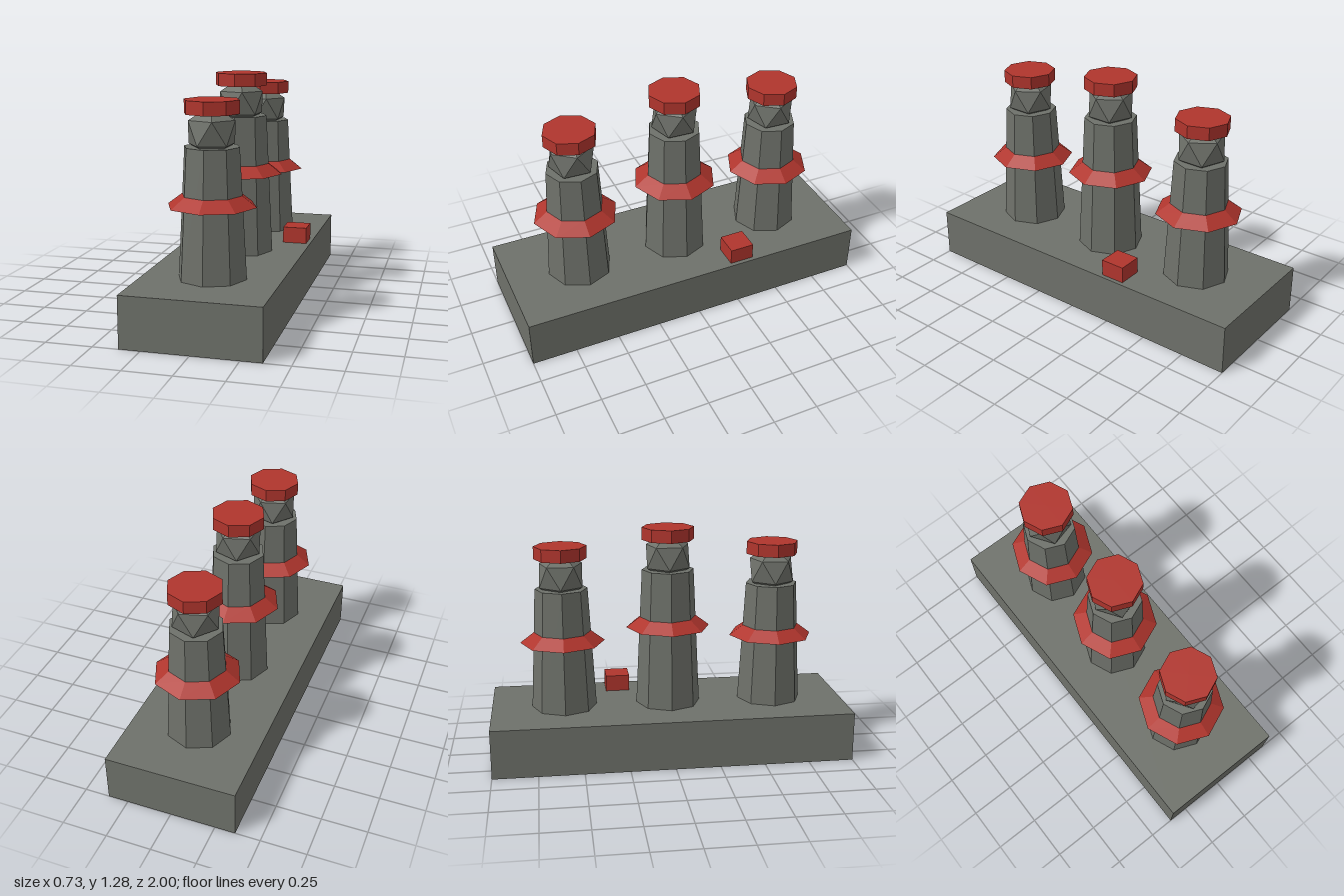
import * as THREE from 'three';

const stone = new THREE.MeshStandardMaterial({ name: 'greyStone', color: 0x6e716a, flatShading: true });
const red = new THREE.MeshStandardMaterial({ name: 'redPaint', color: 0xb0352d, flatShading: true });

const BASE_H = 0.275;

function add(parent, name, geometry, material, x, y, z) {
  const mesh = new THREE.Mesh(geometry, material);
  mesh.name = name;
  mesh.position.set(x, y, z);
  parent.add(mesh);
  return mesh;
}

// Octagonal tapered solid with corners on the x and z axes
const octagon = (top, bottom, height) => new THREE.CylinderGeometry(top, bottom, height, 8);

// One tower: shaft, sloped collar, faceted lantern and cap
function createTower(name, shaftH, collarY, z) {
  const tower = new THREE.Group();
  tower.name = name;
  tower.position.set(0, BASE_H, z);

  add(tower, 'shaft', octagon(0.145, 0.182, shaftH), stone, 0, shaftH / 2, 0);
  add(tower, 'collar', octagon(0.155, 0.235, 0.06), red, 0, collarY + 0.03, 0);

  // Twenty-sided lantern standing on one corner
  const lantern = new THREE.IcosahedronGeometry(0.138, 0);
  lantern.rotateZ(Math.atan2(2, 1 + Math.sqrt(5)));
  lantern.rotateY(THREE.MathUtils.degToRad(34));
  add(tower, 'lantern', lantern, stone, 0, shaftH + 0.073, 0);

  add(tower, 'cap', octagon(0.145, 0.145, 0.07), red, 0, shaftH + 0.201, 0);
  return tower;
}

export function createModel() {
  const model = new THREE.Group();
  model.name = 'threeTowers';

  add(model, 'base', new THREE.BoxGeometry(0.725, BASE_H, 2), stone, 0, BASE_H / 2, 0);

  model.add(createTower('frontTower', 0.68, 0.377, 0.59));
  model.add(createTower('middleTower', 0.772, 0.445, 0));
  model.add(createTower('backTower', 0.68, 0.377, -0.592));

  // Small block beside the towers
  add(model, 'sideBlock', new THREE.BoxGeometry(0.137, 0.092, 0.137), red, 0.271, BASE_H + 0.046, -0.273);
  return model;
}
